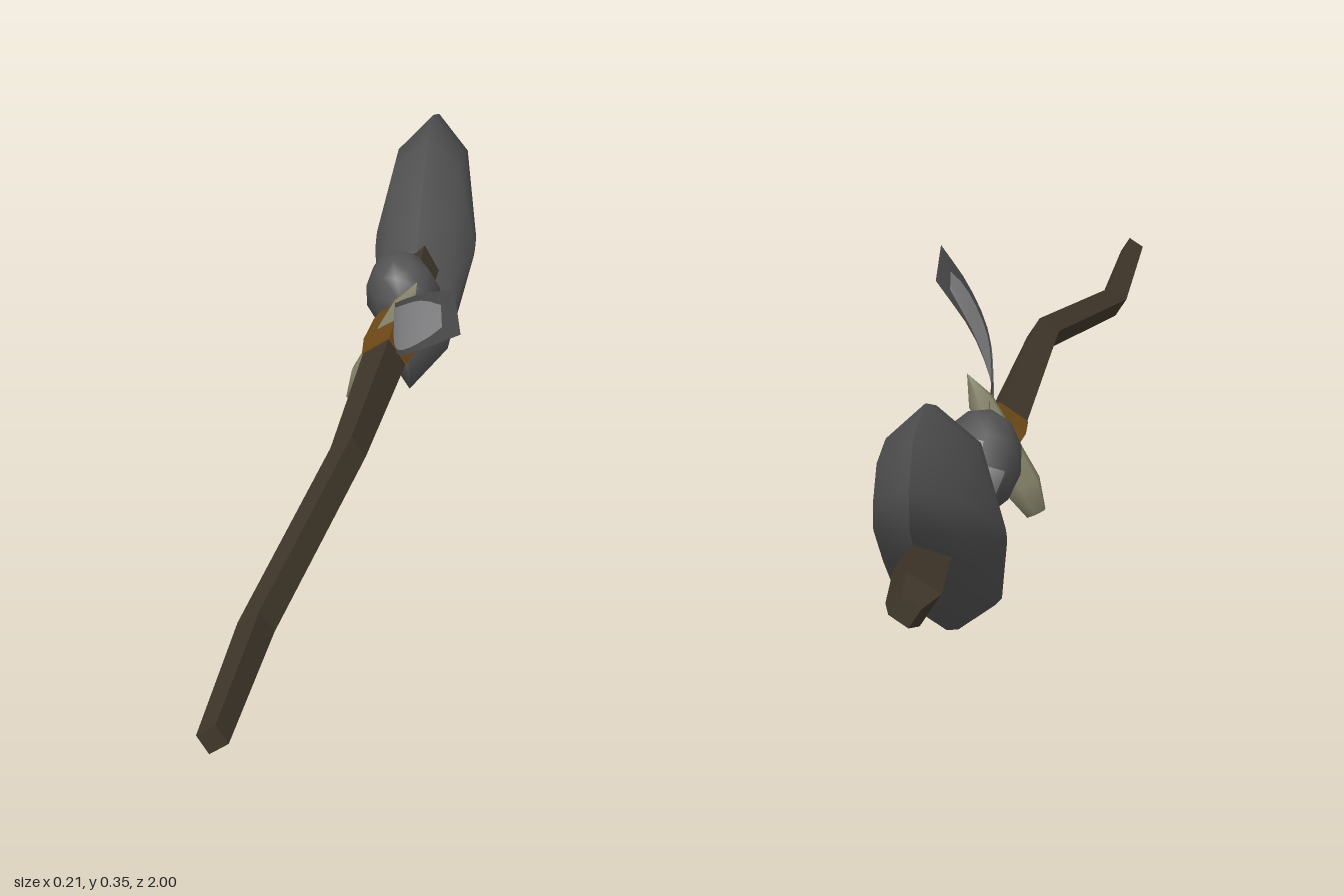
import * as THREE from 'three';

const mat = (name, color, side = THREE.FrontSide) => {
  const m = new THREE.MeshStandardMaterial({ color, side });
  m.name = name;
  return m;
};

// Skin a list of rings (same point count, counter-clockwise about the loft axis)
function loft(rings, capStart, capEnd, flat) {
  const n = rings[0].length, pos = rings.flat(2), idx = [];
  for (let i = 0; i < rings.length - 1; i++)
    for (let j = 0; j < n; j++) {
      const a = i * n + j, b = i * n + (j + 1) % n;
      idx.push(a, b, b + n, a, b + n, a + n);
    }
  const cap = (i, flip) => {
    const c = pos.length / 3;
    pos.push(...[0, 1, 2].map(k => rings[i].reduce((s, p) => s + p[k], 0) / n));
    for (let j = 0; j < n; j++) {
      const a = i * n + j, b = i * n + (j + 1) % n;
      idx.push(c, flip ? b : a, flip ? a : b);
    }
  };
  if (capStart) cap(0, true);
  if (capEnd) cap(rings.length - 1, false);
  let g = new THREE.BufferGeometry();
  g.setAttribute('position', new THREE.Float32BufferAttribute(pos, 3));
  g.setIndex(idx);
  if (flat) g = g.toNonIndexed();
  g.computeVertexNormals();
  return g;
}

// Square section turned on its axis
const square = ([x, y, z, r]) => [0, 1, 2, 3].map(k => {
  const t = 1.36 + k * Math.PI / 2;
  return [x + r * Math.cos(t), y + r * Math.sin(t), z];
});

export function createModel() {
  const group = new THREE.Group();
  const wood = mat('dark wood', 0x40372a);
  const cord = mat('brown binding', 0x6e4a18);
  const stone = mat('dark stone', 0x525252);
  const bone = mat('bone', 0x86836a);
  const vane = mat('dark feather', 0x525252, THREE.DoubleSide);
  const pale = mat('pale grey', 0x929294, THREE.DoubleSide);
  const add = (name, geo, m) => {
    const mesh = new THREE.Mesh(geo, m);
    mesh.name = name;
    group.add(mesh);
    return mesh;
  };

  // Crooked shaft: x, y, z, radius
  const path = [
    [-0.053, 0.178, -1, 0.018], [-0.053, 0.177, -0.95, 0.031], [-0.033, 0.165, -0.79, 0.033],
    [-0.025, 0.165, -0.5, 0.028], [-0.028, 0.16, -0.2, 0.031],
    [-0.018, 0.19, 0.25, 0.023], [-0.063, 0.144, 0.68, 0.022], [-0.055, 0.162, 1, 0.018]];
  add('shaft', loft(path.map(square), true, true, true), wood);

  // Binding wrapped round the shaft
  add('binding', loft([[-0.024, 0.163, -0.35, 0.03], [-0.026, 0.162, -0.3, 0.036],
    [-0.028, 0.161, -0.22, 0.037], [-0.027, 0.163, -0.16, 0.032]].map(square), true, true, true), cord);

  // Stone head: side outline (z, y), swelling to either side of a sharp rim
  const outline = [[-0.455, 0.05], [-0.47, 0], [-0.54, 0.01], [-0.62, 0.035], [-0.7, 0.085],
    [-0.78, 0.15], [-0.85, 0.22], [-0.855, 0.27], [-0.825, 0.32], [-0.75, 0.34],
    [-0.68, 0.32], [-0.58, 0.225], [-0.5, 0.12]];
  const ring = ([x, s]) => outline.map(([z, y]) =>
    [-0.031 + x, 0.165 + (y - 0.165) * s, -0.66 + (z + 0.66) * s]);
  const swell = [[0, 1], [0.05, 0.72], [0.075, 0.08]];
  add('stoneHeadLeft', loft(swell.map(ring), false, true), stone);
  add('stoneHeadRight', loft(swell.map(([x, s]) => ring([-x, s])).reverse(), true, false), stone);

  // Round stone with a paler worn patch at the back
  const ball = (name, m, x, y, z, s) => {
    const b = add(name, new THREE.SphereGeometry(1, 8, 6), m);
    b.position.set(x, y, z);
    b.scale.set(0.054 * s, 0.068 * s, 0.068 * s);
    b.rotation.set(0.3, 0.2, 0.2);
  };
  ball('roundStone', stone, -0.03, 0.174, -0.388, 1);
  ball('roundStonePatch', pale, -0.028, 0.171, -0.398, 0.9);

  // Bone shard tied across the shaft
  const profile = [[0, -0.1], [0.014, -0.1], [0.026, -0.06], [0.022, 0], [0.018, 0.06], [0, 0.1]]
    .map(p => new THREE.Vector2(...p));
  const shardGeo = new THREE.LatheGeometry(profile, 6);
  const shard = add('boneShard', shardGeo, bone);
  shard.position.set(-0.036, 0.16, -0.238);
  shard.scale.z = 0.75;
  shard.rotation.z = -0.46;

  // Curved feather: x, upper z and y, lower z and y at stations along the quill
  const stations = [
    [-0.024, -0.262, 0.215, -0.262, 0.195], [-0.013, -0.17, 0.242, -0.16, 0.187],
    [0.006, -0.09, 0.275, -0.07, 0.203], [0.045, -0.01, 0.315, 0.015, 0.245],
    [0.1, 0.07, 0.35, 0.09, 0.296]];
  const curve = k => new THREE.CatmullRomCurve3(stations.map(s =>
    new THREE.Vector3(s[0] + (s === stations[4] ? (k ? 0.006 : -0.005) : 0), s[2 + 2 * k], s[1 + 2 * k])));
  const upper = curve(0), lower = curve(1);
  const blade = (t0, t1, inset, shift) => {
    const g = new THREE.PlaneGeometry(1, 1, 10, 2), p = g.attributes.position;
    for (let i = 0; i < p.count; i++) {
      const u = p.getX(i) + 0.5, t = t0 + (t1 - t0) * u;
      const end = inset * (1 + 1.8 * Math.pow(Math.abs(2 * u - 1), 4));
      const w = end + (1 - 2 * end) * (0.5 - p.getY(i));
      const v = upper.getPoint(t).lerp(lower.getPoint(t), w);
      p.setXYZ(i, v.x + shift, v.y, v.z - shift * 0.4);
    }
    g.computeVertexNormals();
    return g;
  };
  add('feather', blade(0, 1, 0, 0), vane);
  for (const s of [-1, 1]) add('featherPatch', blade(0.08, 0.9, 0.1, s * 0.0012), pale);

  return group;
}
